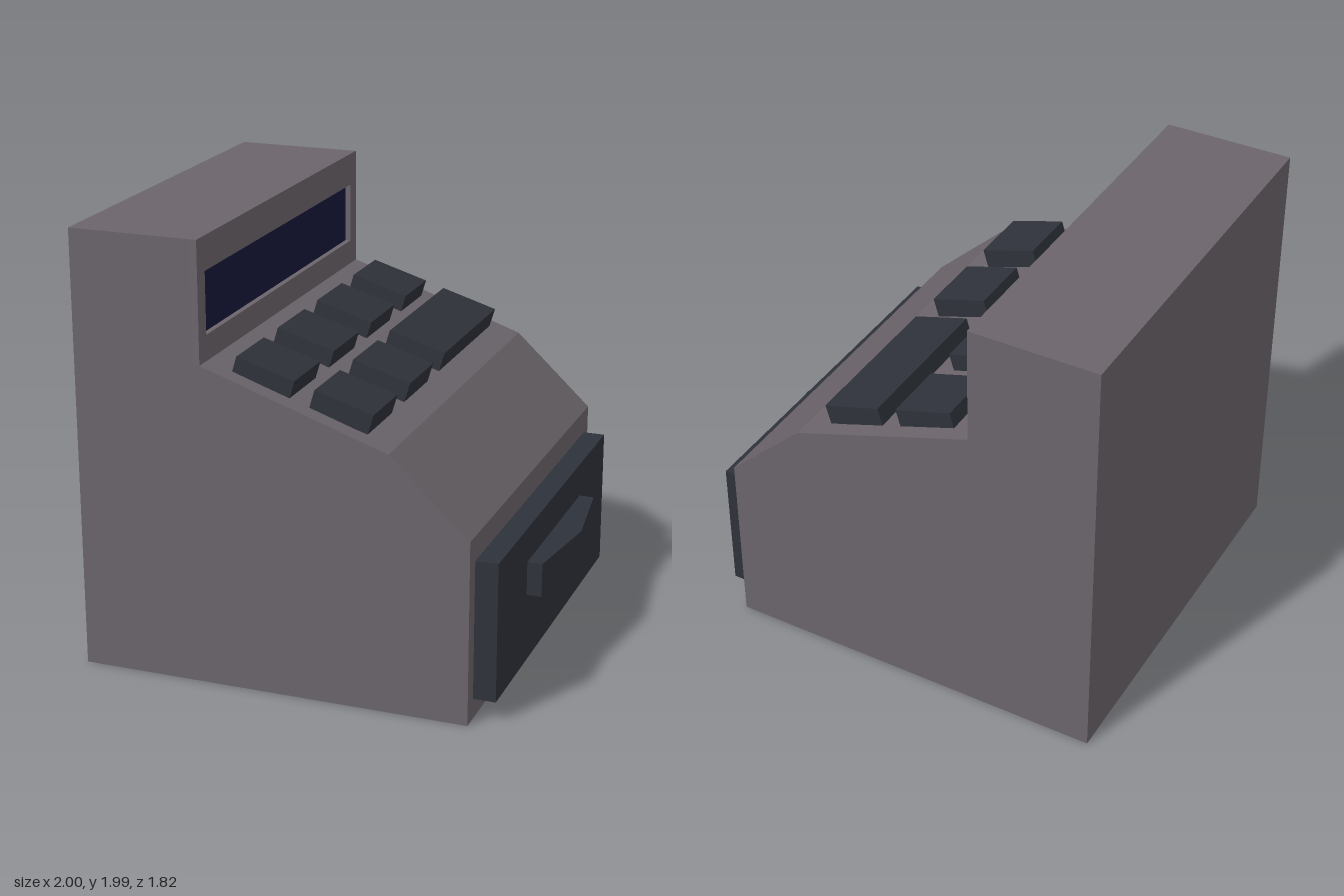
import * as THREE from 'three';

const bodyMat = new THREE.MeshStandardMaterial({ color: 0x6b656b, flatShading: true });
const darkMat = new THREE.MeshStandardMaterial({ color: 0x2e323a, flatShading: true });
const screenMat = new THREE.MeshStandardMaterial({ color: 0x17163a, flatShading: true });

const shapeOf = (points) => new THREE.Shape(points.map(([x, y]) => new THREE.Vector2(x, y)));
const extrude = (shape, depth) => new THREE.ExtrudeGeometry(shape, { depth, bevelEnabled: false });

function addMesh(parent, name, geometry, material) {
  const mesh = new THREE.Mesh(geometry, material);
  mesh.name = name;
  parent.add(mesh);
  return mesh;
}

export function createModel() {
  const model = new THREE.Group();
  model.name = 'cashRegister';

  const halfWidth = 0.91;
  const towerX = -0.415; // front of the display tower
  const recess = 0.03;   // depth of the display opening
  const ledgeY = 1.447;  // where the key slope meets the tower

  // Main case: side profile swept across the width, stepped back behind the display frame
  const profile = shapeOf([
    [-1, 0], [0.775, 0], [0.775, 0.83], [0.42, 1.162], [towerX, ledgeY],
    [towerX - recess, ledgeY], [towerX - recess, 1.985], [-1, 1.985],
  ]);
  addMesh(model, 'case', extrude(profile, halfWidth * 2).translate(0, 0, -halfWidth), bodyMat);

  // Display frame with a rectangular opening
  const frame = shapeOf([
    [-halfWidth, ledgeY], [halfWidth, ledgeY], [halfWidth, 1.985], [-halfWidth, 1.985],
  ]);
  frame.holes.push(shapeOf([[-0.835, 1.56], [-0.835, 1.835], [0.835, 1.835], [0.835, 1.56]]));
  const frameGeometry = extrude(frame, recess).rotateY(Math.PI / 2).translate(towerX - recess, 0, 0);
  addMesh(model, 'displayFrame', frameGeometry, bodyMat);

  // Screen sunk into the opening
  addMesh(model, 'displayScreen', new THREE.BoxGeometry(0.01, 0.275, 1.67), screenMat)
    .position.set(towerX - recess, 1.6975, 0);

  // Two sloping rows of keys: top centre of each row and z range of each key
  const rows = [
    { x: -0.155, y: 1.438, keys: [[-0.83, -0.54], [-0.385, -0.08], [0.075, 0.38], [0.535, 0.825]] },
    { x: 0.194, y: 1.331, keys: [[-0.83, -0.08], [0.075, 0.38], [0.535, 0.825]] },
  ];
  const keypad = new THREE.Group();
  keypad.name = 'keypad';
  model.add(keypad);
  for (const { x, y, keys } of rows) {
    for (const [z0, z1] of keys) {
      const geometry = new THREE.BoxGeometry(0.272, 0.09, z1 - z0).translate(0, -0.045, 0);
      const key = addMesh(keypad, 'key', geometry, darkMat);
      key.position.set(x, y, (z0 + z1) / 2);
      key.rotation.z = -0.292;
    }
  }

  // Cash drawer front
  addMesh(model, 'drawer', new THREE.BoxGeometry(0.1, 0.627, 1.684), darkMat)
    .position.set(0.826, 0.408, 0);

  // Drawer pull, pointed in the middle (plan outline extruded upward)
  const pull = shapeOf([[0.87, -0.42], [0.943, -0.42], [1, 0], [0.943, 0.42], [0.87, 0.42]]);
  const pullGeometry = extrude(pull, 0.153).rotateX(-Math.PI / 2).translate(0, 0.411, 0);
  addMesh(model, 'drawerHandle', pullGeometry, darkMat);

  return model;
}
